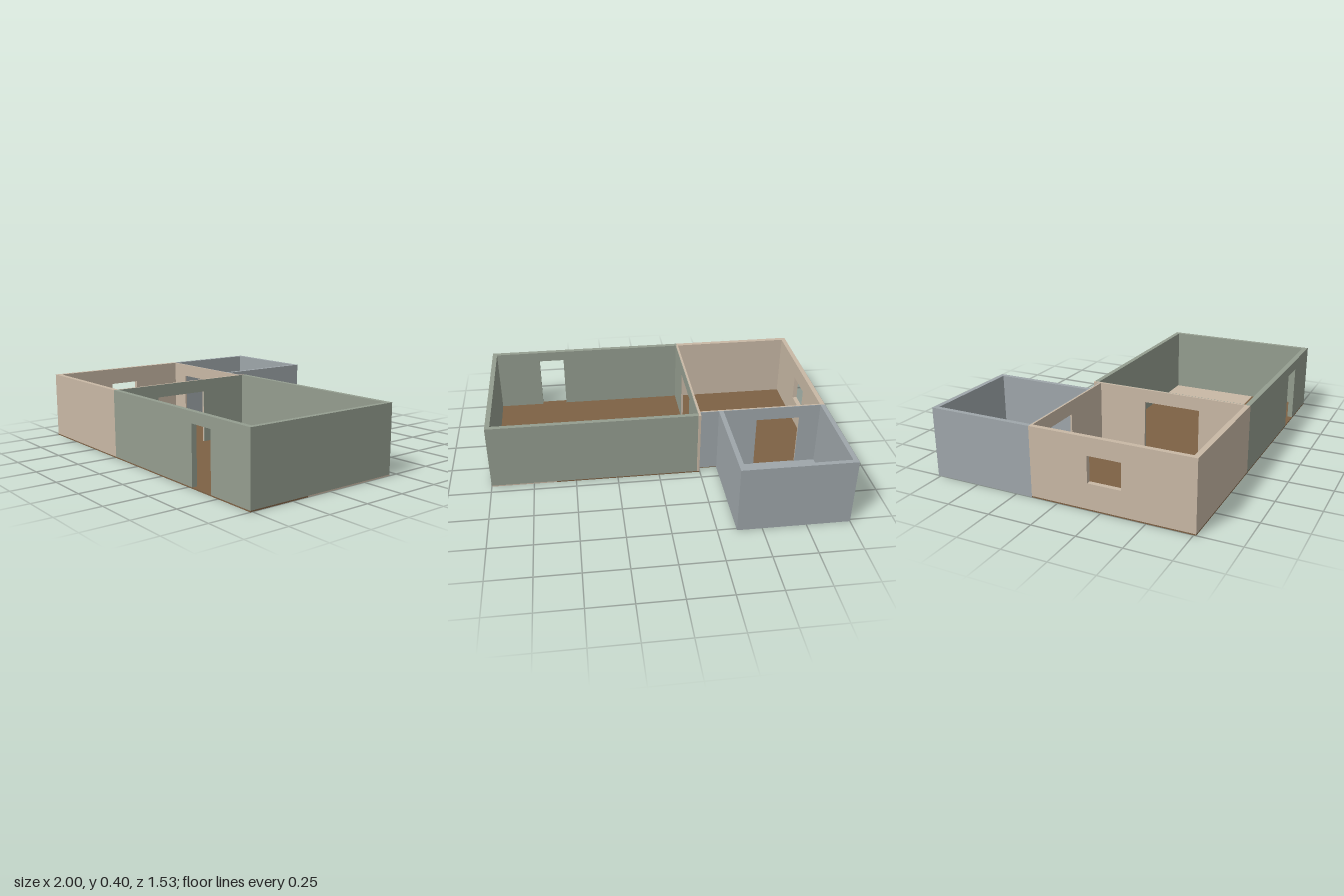
import * as THREE from 'three';

const H = 0.4;      // wall top
const FLOOR = 0.007; // slab thickness

const mat = (name, color) => {
  const m = new THREE.MeshStandardMaterial({ color });
  m.name = name;
  return m;
};

// Upright panel from u0 to u1 with rectangular openings [u0, u1, y0, y1];
// an opening with y0 = 0 is a doorway that reaches the floor.
function panel(u0, u1, thickness, openings) {
  const shape = new THREE.Shape();
  shape.moveTo(u0, FLOOR);
  for (const [a, b, y0, y1] of openings) {
    if (y0 === 0) {
      shape.lineTo(a, FLOOR);
      shape.lineTo(a, y1);
      shape.lineTo(b, y1);
      shape.lineTo(b, FLOOR);
    } else {
      const hole = new THREE.Path();
      hole.moveTo(a, y0);
      hole.lineTo(a, y1);
      hole.lineTo(b, y1);
      hole.lineTo(b, y0);
      hole.closePath();
      shape.holes.push(hole);
    }
  }
  shape.lineTo(u1, FLOOR);
  shape.lineTo(u1, H);
  shape.lineTo(u0, H);
  shape.closePath();
  return new THREE.ExtrudeGeometry(shape, { depth: thickness, bevelEnabled: false });
}

function add(group, name, geometry, material) {
  const mesh = new THREE.Mesh(geometry, material);
  mesh.name = name;
  group.add(mesh);
}

// Wall running along x, occupying z0..z1
function wallX(group, name, material, x0, x1, z0, z1, openings = []) {
  add(group, name, panel(x0, x1, z1 - z0, openings).translate(0, 0, z0), material);
}

// Wall running along z, occupying x0..x1
function wallZ(group, name, material, z0, z1, x0, x1, openings = []) {
  add(group, name, panel(z0, z1, x1 - x0, openings).rotateY(-Math.PI / 2).translate(x1, 0, 0), material);
}

function slab(group, name, material, x0, x1, z0, z1) {
  const g = new THREE.BoxGeometry(x1 - x0, FLOOR, z1 - z0);
  add(group, name, g.translate((x0 + x1) / 2, FLOOR / 2, (z0 + z1) / 2), material);
}

export function createModel() {
  const green = mat('sage green', 0x949d8f);
  const tan = mat('warm beige', 0xc8b8a5);
  const grey = mat('blue grey', 0x9ea6aa);
  const wood = mat('brown wood', 0x7d6144);

  const house = new THREE.Group();
  house.name = 'floorPlan';
  const room = (name) => {
    const g = new THREE.Group();
    g.name = name;
    house.add(g);
    return g;
  };

  const frontDoor = [0.535, 0.695, 0, 0.338];
  const innerDoor = [0.137, 0.47, 0, 0.325];
  const bathDoor = [-0.85, -0.59, 0, 0.322];
  const window_ = [0.177, 0.367, 0.15, 0.3];

  // Large living room
  const living = room('livingRoom');
  wallX(living, 'frontWall', green, -0.239, 1, 0.733, 0.763, [frontDoor]);
  wallX(living, 'backWall', green, -0.231, 1, -0.195, -0.167);
  wallZ(living, 'sideWall', green, -0.167, 0.733, 0.972, 1);
  wallZ(living, 'partitionFacing', green, -0.167, 0.733, -0.234, -0.231, [innerDoor]);
  slab(living, 'woodFloorBack', wood, -0.247, 0.615, -0.195, 0.4);
  slab(living, 'woodFloorFront', wood, -0.247, 1, 0.4, 0.763);
  slab(living, 'tileFloor', tan, 0.615, 1, -0.195, 0.4);

  // Bedroom with side window
  const bedroom = room('bedroom');
  wallX(bedroom, 'frontWall', tan, -1, -0.239, 0.733, 0.763);
  wallZ(bedroom, 'windowWall', tan, -0.146, 0.733, -1, -0.973, [window_]);
  wallX(bedroom, 'backWall', tan, -1, -0.247, -0.156, -0.146, [bathDoor]);
  wallZ(bedroom, 'partition', tan, -0.195, 0.733, -0.247, -0.234, [innerDoor]);
  slab(bedroom, 'woodFloor', wood, -1, -0.247, -0.156, 0.763);

  // Small back room
  const bath = room('backRoom');
  wallX(bath, 'backWall', grey, -1, -0.358, -0.765, -0.738);
  wallZ(bath, 'leftWall', grey, -0.738, -0.16, -1, -0.973);
  wallZ(bath, 'rightWall', grey, -0.738, -0.16, -0.385, -0.358);
  wallX(bath, 'doorWallFacing', grey, -1, -0.247, -0.16, -0.156, [bathDoor]);
  slab(bath, 'tileFloor', grey, -1, -0.358, -0.765, -0.156);

  return house;
}
